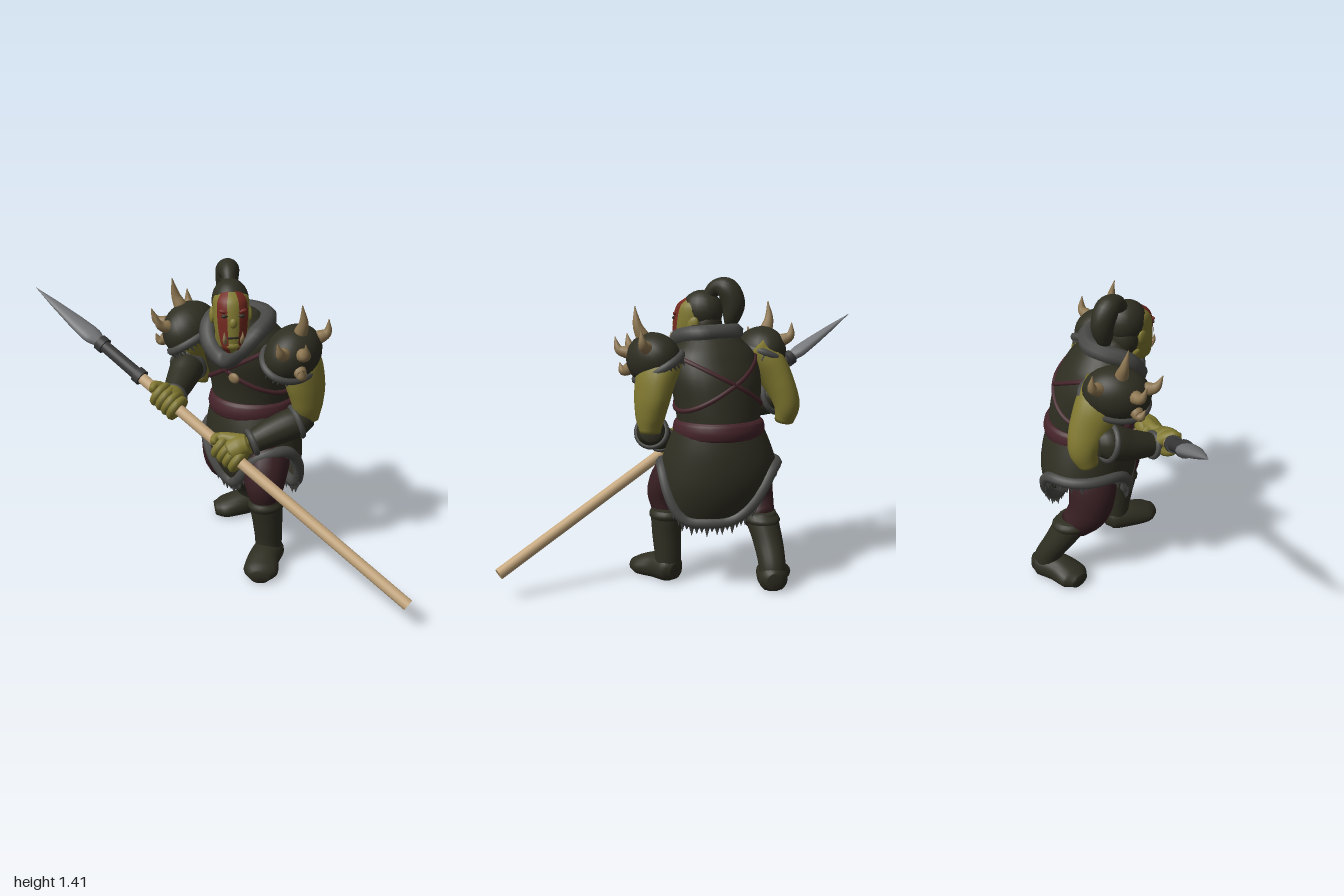
import * as THREE from 'three';
import { mergeGeometries } from 'three/addons/utils/BufferGeometryUtils.js';

const mat = (name, color, side = THREE.FrontSide) => {
  const m = new THREE.MeshStandardMaterial({ color, side });
  m.name = name;
  return m;
};
const V = (x, y, z) => new THREE.Vector3(x, y, z);
const X = V(1, 0, 0), Y = V(0, 1, 0), Z = V(0, 0, 1);

// Smooth skin through rows of [x, y, z, ra, rb]; flat keeps the sections horizontal (rows going up)
function loft(rows, { ref = Z, flat = false, arc = null, grow = 0, seg = 20, floor = -9 } = {}) {
  const path = new THREE.CatmullRomCurve3(rows.map(r => V(r[0], r[1], r[2])));
  const size = new THREE.CatmullRomCurve3(rows.map(r => V(r[3], r[4] ?? r[3], 0)), false, 'catmullrom', 0.4);
  const n = (rows.length - 1) * 5, pos = [], idx = [];
  const first = arc ? 0 : -1, last = arc ? n : n + 1;
  const [a0, a1] = arc || [0, Math.PI * 2];
  for (let i = first; i <= last; i++) {
    const t = Math.min(1, Math.max(0, i / n));
    const c = path.getPoint(t), s = size.getPoint(t);
    const k = i < 0 || i > n ? 0 : 1;
    const T = flat ? Y : path.getTangent(t);
    const u = flat ? X.clone() : new THREE.Vector3().crossVectors(T, ref).normalize();
    const v = new THREE.Vector3().crossVectors(T, u);
    for (let j = 0; j <= seg; j++) {
      const a = a0 + (a1 - a0) * (j / seg);
      const p = c.clone()
        .addScaledVector(u, Math.cos(a) * k * (Math.max(0.001, s.x) + grow))
        .addScaledVector(v, Math.sin(a) * k * (Math.max(0.001, s.y) + grow));
      pos.push(p.x, Math.max(floor, p.y), p.z);
    }
  }
  const w = seg + 1;
  for (let i = 0; i < last - first; i++) for (let j = 0; j < seg; j++) {
    const a = i * w + j, b = arc ? a + 1 : i * w + (j + 1) % seg;
    idx.push(a, b, b + w, a, b + w, a + w);
  }
  const g = new THREE.BufferGeometry();
  g.setAttribute('position', new THREE.Float32BufferAttribute(pos, 3));
  g.setIndex(idx);
  g.computeVertexNormals();
  return g;
}

// Fur trim: a soft closed roll with a row of hanging tufts
function fur(pts, r, tufts, length) {
  const curve = new THREE.CatmullRomCurve3(pts, true);
  const parts = [new THREE.TubeGeometry(curve, pts.length * 5, r, 8, true)];
  for (let i = 0; i < tufts; i++) {
    const p = curve.getPointAt(i / tufts), l = length * (1 + 0.3 * Math.sin(i * 2.4));
    parts.push(new THREE.ConeGeometry(r * 0.7, l, 5).rotateX(Math.PI).translate(p.x, p.y - r * 0.5 - l * 0.35, p.z));
  }
  return mergeGeometries(parts);
}

const ring = (n, f) => Array.from({ length: n }, (_, i) => f((i / n) * Math.PI * 2));

export function createModel() {
  const model = new THREE.Group();
  const cloth = mat('dark leather', 0x2f2e22, THREE.DoubleSide);
  const maroon = mat('maroon belt', 0x45242a), trousers = mat('dark maroon cloth', 0x381f23);
  const grey = mat('grey fur', 0x494947);
  const skin = mat('olive skin', 0x807830), paint = mat('red paint', 0x72291f);
  const horn = mat('horn', 0x8c7550), wood = mat('pale wood', 0xc6a87e);
  const steel = mat('steel', 0x77787b), iron = mat('dark iron', 0x383938);
  const add = (name, geo, material, parent = model) => {
    const m = new THREE.Mesh(geo, material);
    m.name = name;
    parent.add(m);
    return m;
  };
  const ball = (name, x, y, z, rx, ry, rz, material, parent) => {
    const m = add(name, new THREE.SphereGeometry(1, 20, 14), material, parent);
    m.position.set(x, y, z);
    m.scale.set(rx, ry, rz);
    return m;
  };

  // Torso and belt
  const torso = [[0, .66, -.06, .19, .17], [0, .75, -.06, .19, .185], [0, .85, -.05, .2, .185],
    [0, .97, -.025, .215, .185], [0, 1.07, 0, .2, .16], [0, 1.14, .02, .14, .125], [0, 1.2, .05, .075, .075]];
  add('vest', loft(torso, { flat: true, seg: 28 }), cloth);
  add('belt', loft([[0, .695, -.06, .19, .19], [0, .71, -.06, .207, .205], [0, .74, -.06, .211, .21],
    [0, .77, -.06, .205, .203], [0, .785, -.06, .19, .19]], { flat: true, seg: 28 }), maroon);

  // Crossed straps that hug the torso
  const torsoAt = y => {
    const i = Math.max(0, torso.findIndex(r => r[1] > y) - 1), a = torso[i], b = torso[i + 1];
    return a.map((q, k) => THREE.MathUtils.lerp(q, b[k], (y - a[1]) / (b[1] - a[1])));
  };
  for (const s of [-1, 1]) {
    const pts = ring(28, a => {
      const y = .95 + s * .12 * Math.cos(a), r = torsoAt(y);
      return V(r[3] * Math.cos(a), y, r[2] + r[4] * Math.sin(a));
    });
    add('strap', new THREE.TubeGeometry(new THREE.CatmullRomCurve3(pts, true), 90, .011, 6, true), maroon);
  }
  ball('strapBuckle', .05, .92, .157, .028, .024, .014, horn);

  // Fur collar with two lapels
  add('collar', fur([V(0, .995, .16), V(.085, 1.06, .155), V(.13, 1.13, .1), V(.125, 1.16, .015), V(.07, 1.17, -.055),
    V(-.07, 1.17, -.055), V(-.125, 1.16, .015), V(-.13, 1.13, .1), V(-.085, 1.06, .155)], .04, 48, .03), grey);

  // Skirt with a front flap and a long back flap swung to the left
  const hem = a => {
    const front = Math.atan2(Math.cos(a), Math.sin(a)), back = Math.atan2(Math.cos(a), -Math.sin(a)) - .5;
    return .575 - .2 * Math.exp(-((front / .5) ** 2)) - .25 * Math.exp(-((back / .95) ** 4));
  };
  const skirtPoint = (a, y) => {
    const f = (.76 - y) / .46;
    return V(Math.cos(a) * (.2 + .065 * Math.sin(f * Math.PI * .8)), y,
      -.06 + Math.cos(a) * Math.min(f, .4) * .1 + Math.sin(a) * (.185 + .055 * Math.sin(f * Math.PI * .9) - .07 * f * f));
  };
  const skirt = new THREE.PlaneGeometry(1, 1, 48, 10), sp = skirt.attributes.position;
  for (let i = 0; i < sp.count; i++) {
    const a = (.5 - sp.getX(i)) * Math.PI * 2;
    const p = skirtPoint(a, THREE.MathUtils.lerp(hem(a), .75, sp.getY(i) + .5));
    sp.setXYZ(i, p.x, p.y, p.z);
  }
  skirt.computeVertexNormals();
  add('skirt', skirt, cloth);
  add('skirtFur', fur(ring(40, a => skirtPoint(a, hem(a))), .026, 80, .05), grey);

  // Legs: left steps forward, right trails behind
  add('leftTrouser', loft([[.08, .64, -.05, .07, .09], [.155, .54, .035, .095, .11], [.185, .43, .105, .095, .095],
    [.19, .32, .1, .065, .07]]), trousers);
  add('rightTrouser', loft([[-.08, .64, -.08, .08, .09], [-.165, .52, -.05, .098, .11], [-.185, .38, -.07, .09, .1],
    [-.18, .29, -.14, .068, .075]]), trousers);
  add('leftBoot', loft([[.195, .05, .085, .06, .065], [.195, .12, .085, .062, .065], [.195, .22, .095, .068, .072],
    [.19, .31, .1, .075, .083], [.19, .35, .1, .072, .078]], { flat: true }), cloth);
  add('rightBoot', loft([[-.165, .05, -.28, .06, .06], [-.17, .12, -.26, .062, .068], [-.18, .21, -.205, .068, .078],
    [-.18, .3, -.15, .075, .088], [-.18, .34, -.135, .07, .08]], { flat: true }), cloth);
  add('leftCuff', loft([[.19, .29, .1, .07, .08], [.19, .315, .1, .083, .09], [.19, .345, .1, .07, .076]], { flat: true }), cloth);
  add('rightCuff', loft([[-.18, .28, -.16, .07, .08], [-.18, .305, -.148, .083, .094], [-.18, .335, -.136, .07, .076]], { flat: true }), cloth);
  add('leftFoot', loft([[.18, .05, .025, .035, .04], [.19, .055, .06, .068, .065], [.215, .05, .15, .072, .065],
    [.255, .038, .23, .08, .05], [.28, .032, .275, .045, .032]], { ref: Y, floor: 0 }), cloth);
  add('rightFoot', loft([[-.14, .05, -.335, .035, .04], [-.155, .055, -.3, .066, .065], [-.195, .05, -.22, .072, .065],
    [-.25, .038, -.15, .08, .05], [-.285, .032, -.115, .045, .032]], { ref: Y, floor: 0 }), cloth);

  // Arms and bracers
  add('leftUpperArm', loft([[.22, 1.08, .01, .08, .09], [.285, 1.0, -.01, .085, .115], [.315, .9, -.02, .074, .11],
    [.327, .81, -.02, .062, .085], [.33, .735, -.025, .045, .05]]), skin);
  add('rightUpperArm', loft([[-.22, 1.08, .01, .08, .09], [-.285, 1.0, -.03, .08, .1], [-.325, .9, -.075, .065, .085],
    [-.345, .82, -.095, .058, .068], [-.345, .74, -.075, .045, .045]]), skin);
  add('leftBracer', loft([[.33, .74, -.03, .045], [.3, .73, .025, .07], [.235, .695, .11, .066], [.165, .65, .2, .05]], { ref: Y }), cloth);
  add('rightBracer', loft([[-.345, .845, -.04, .055], [-.335, .845, .01, .08], [-.305, .81, .1, .07], [-.255, .775, .22, .05]], { ref: Y }), cloth);
  const cuffs = [[.3, .73, .025, .068, -.16, -.09, .2], [.175, .656, .19, .052, -.16, -.09, .2],
    [-.335, .845, .01, .078, .1, -.08, .22], [-.26, .777, .21, .052, .1, -.05, .22]];
  for (const [x, y, z, r, dx, dy, dz] of cuffs) {
    const m = add('bracerTrim', new THREE.TorusGeometry(r, .014, 8, 24), grey);
    m.position.set(x, y, z);
    m.quaternion.setFromUnitVectors(Z, V(dx, dy, dz).normalize());
  }

  // Spear
  const butt = V(.985, .12, .18), tip = V(-1, 1.19, .33);
  const dir = tip.clone().sub(butt).normalize(), len = butt.distanceTo(tip);
  const spear = new THREE.Group();
  spear.name = 'spear';
  spear.position.copy(butt);
  spear.quaternion.setFromUnitVectors(Y, dir);
  model.add(spear);
  add('shaft', new THREE.CylinderGeometry(.026, .026, 1.6, 20).translate(0, .8, 0), wood, spear);
  add('socket', new THREE.CylinderGeometry(.027, .03, .27, 20).translate(0, 1.7, 0), iron, spear);
  for (const y of [1.575, 1.815]) add('socketRing', new THREE.CylinderGeometry(.038, .038, .035, 20).translate(0, y, 0), iron, spear);
  add('blade', loft([[0, 1.82, 0, .022, .024], [0, 1.88, 0, .028, .05], [0, 1.96, 0, .025, .046],
    [0, 2.1, 0, .016, .027], [0, len, 0, .001, .001]], { flat: true, seg: 12 }), steel, spear);

  // Fists closed around the shaft
  const fist = (name, x, wx, wy, wz) => {
    const hand = new THREE.Group();
    hand.name = name;
    const c = butt.clone().addScaledVector(dir, (x - butt.x) / dir.x);
    hand.position.copy(c);
    model.add(hand);
    const q = new THREE.Quaternion().setFromUnitVectors(Z, dir);
    for (let i = 0; i < 4; i++) {
      const m = add('finger', new THREE.TorusGeometry(.044, .02, 8, 18), skin, hand);
      m.position.copy(dir).multiplyScalar((i - 1.5) * .034);
      m.quaternion.copy(q);
    }
    add('thumb', loft([[wx - c.x, wy - c.y, wz - c.z, .04], [dir.x * .07, dir.y * .07 + .035, .02, .022],
      [dir.x * .06, dir.y * .06 + .03, .055, .014]], { ref: V(.6, .5, -.6) }), skin, hand);
    add('palm', loft([[wx - c.x, wy - c.y, wz - c.z, .045], [(wx - c.x) * .5, (wy - c.y) * .5 + .01, (wz - c.z) * .5, .06, .055],
      [0, .012, .01, .055, .05]], { ref: Y }), skin, hand);
  };
  fist('leftHand', .095, .165, .65, .2);
  fist('rightHand', -.235, -.255, .775, .21);

  // Spiked shoulder guards
  const spikes = [[-.1, 1, -.05, .12], [.5, .65, .4, .1], [.4, .6, -.65, .1], [.0, .6, .8, .095], [.75, .15, .55, .08]];
  for (const s of [-1, 1]) {
    const guard = new THREE.Group();
    guard.name = s > 0 ? 'leftShoulderGuard' : 'rightShoulderGuard';
    guard.position.set(s * .28, 1.055, s > 0 ? .035 : .05);
    guard.rotation.set(.22, 0, -s * .5);
    model.add(guard);
    const shell = add('guardShell', new THREE.SphereGeometry(1, 24, 14, 0, Math.PI * 2, 0, Math.PI * .6), cloth, guard);
    shell.scale.set(.115, .125, .15);
    add('guardFur', fur(ring(20, a => V(Math.cos(a) * .11, -.038, Math.sin(a) * .145)), .019, 40, .035), grey, guard);
    for (const [x, y, z, l] of spikes) {
      const d = V(s * x, y, z).normalize(), b = V(d.x * .105, d.y * .115, d.z * .14);
      const m = b.clone().addScaledVector(d, l * .45), t = b.clone().addScaledVector(d, l * .65).add(V(-s * l * .3, l * .45, 0));
      add('spike', loft([[...b, .031], [...m, .021], [...t, .002]], { ref: V(-.5, .1, .85), seg: 12 }), horn, guard);
    }
  }

  // Head, turned toward its left
  const head = new THREE.Group();
  head.name = 'head';
  head.position.set(.01, 1.2, .125);
  head.rotation.y = .75;
  model.add(head);
  const face = [[0, -.145, .065, .03, .03], [0, -.115, .05, .058, .065], [0, -.05, .03, .074, .088],
    [0, .02, .014, .08, .1], [0, .085, .002, .075, .094], [0, .132, -.01, .03, .045]];
  add('face', loft(face, { flat: true, seg: 28 }), skin, head);
  add('neck', loft([[0, -.15, -.05, .07], [0, -.06, -.02, .065]], { flat: true }), skin, head);
  for (const s of [-1, 1]) {
    const mid = Math.PI * 1.5 + s * .62;
    add('facePaint', loft(face, { flat: true, arc: [mid - .3, mid + .3], grow: .003, seg: 6 }), paint, head);
    ball('eye', s * .036, .026, .104, .015, .008, .008, cloth, head);
    ball('brow', s * .036, .044, .094, .025, .01, .013, paint, head).rotation.z = s * .2;
    add('tusk', loft([[s * .033, -.095, .1, .011], [s * .038, -.07, .118, .009], [s * .04, -.04, .118, .001]], { ref: X, seg: 8 }), horn, head);
    ball('ear', s * .082, .0, -.005, .012, .036, .026, skin, head).rotation.x = -.4;
  }
  ball('nose', 0, -.005, .108, .018, .024, .017, skin, head);
  ball('mouth', 0, -.068, .107, .036, .011, .012, cloth, head);
  ball('jaw', 0, -.108, .088, .042, .025, .032, skin, head);

  // Hair and curled topknot
  ball('hair', 0, .058, -.022, .082, .096, .098, cloth, head);
  ball('napeHair', 0, -.01, -.045, .075, .09, .07, cloth, head);
  add('topknot', loft([[0, .12, -.05, .03], [0, .165, -.09, .038], [0, .16, -.14, .053], [0, .1, -.172, .055, .05],
    [0, .03, -.165, .04], [0, -.03, -.145, .012]], { ref: X }), cloth, head);

  return model;
}
